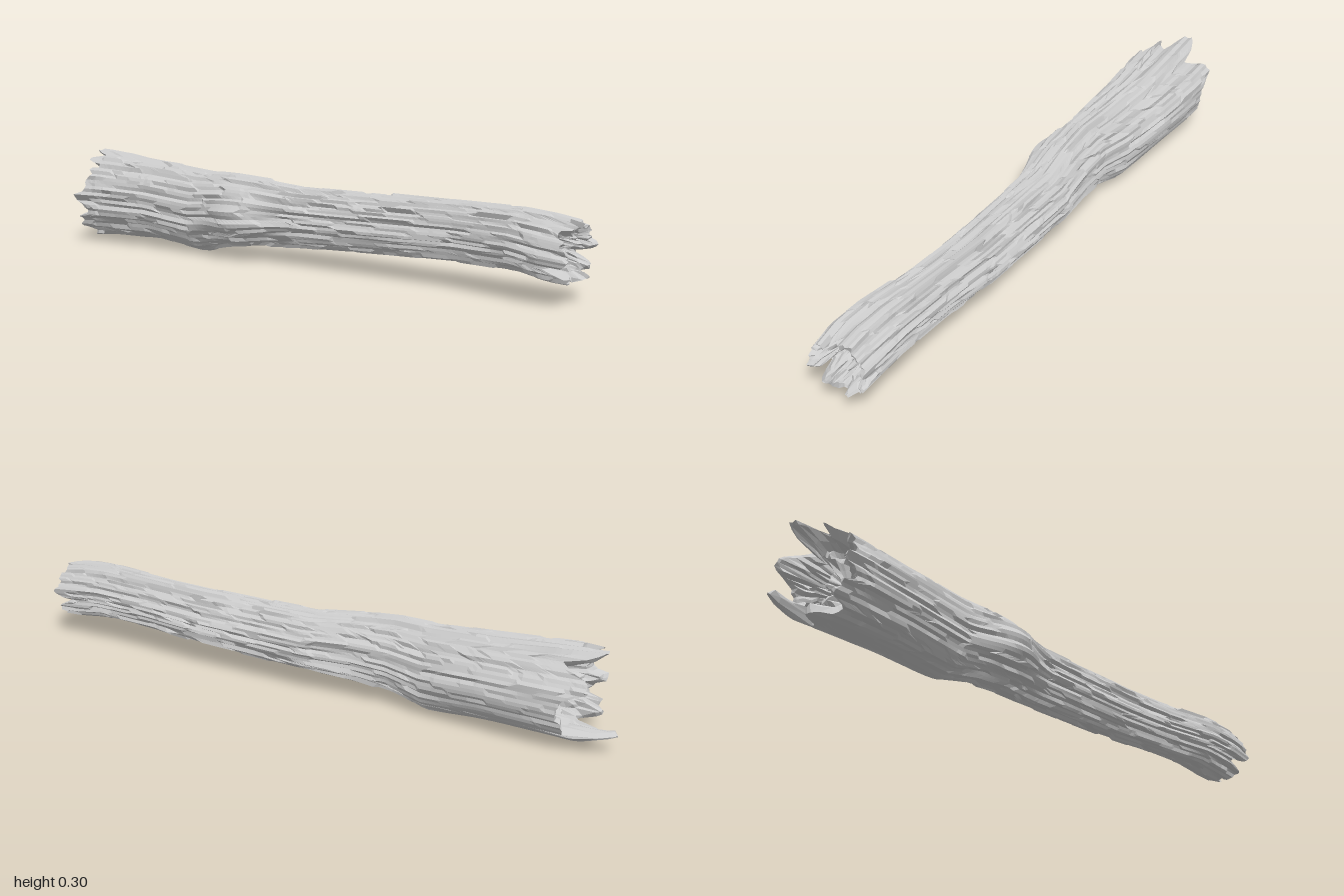
import * as THREE from 'three';

const COLS = 76, ROWS = 120;

// Log outline along its length: z, left x, right x, bottom y, top y
const OUTLINE = [
  [1.0, -0.10, 0.09, 0.06, 0.24], [0.9, -0.11, 0.095, 0.065, 0.255], [0.8, -0.10, 0.10, 0.08, 0.262],
  [0.6, -0.068, 0.105, 0.078, 0.26], [0.4, -0.062, 0.12, 0.07, 0.257], [0.0, -0.072, 0.125, 0.057, 0.255],
  [-0.15, -0.092, 0.108, 0.047, 0.268], [-0.28, -0.103, 0.103, 0.03, 0.276], [-0.4, -0.11, 0.12, 0.004, 0.276],
  [-0.6, -0.118, 0.147, 0.024, 0.288], [-0.8, -0.14, 0.158, 0.02, 0.297], [-1.0, -0.157, 0.152, 0.006, 0.302],
];

// Long splinters of the back break: angle in degrees, half width, tip z
const SPLINTERS = [
  [75, 16, -0.95], [-58, 13, -1.0], [28, 20, -0.925], [180, 15, -0.895],
  [-95, 16, -0.915], [-135, 14, -0.9], [112, 10, -0.91], [210, 8, -0.89],
];

const hash = (a, b = 0) => {
  const s = Math.sin(a * 127.1 + b * 311.7 + 17.3) * 43758.5453;
  return s - Math.floor(s);
};
const bell = (x, w) => Math.exp(-(x * x) / (w * w));
const turn = (a, b) => Math.atan2(Math.sin(a - b), Math.cos(a - b));
const rad = THREE.MathUtils.degToRad;
const angleOf = j => ((j % COLS) / COLS) * Math.PI * 2;

function section(z) {
  let k = 0;
  while (k < OUTLINE.length - 2 && z < OUTLINE[k + 1][0]) k++;
  const a = OUTLINE[k], b = OUTLINE[k + 1];
  const t = THREE.MathUtils.clamp((a[0] - z) / (a[0] - b[0]), 0, 1);
  return a.map((v, n) => v + (b[n] - v) * t);
}

// Point on the log skin, scaled towards the core and pushed out by lift
function skin(angle, z, scale = 1, lift = 0) {
  const [, l, r, b, t] = section(z);
  const knot = 0.045 * bell(z + 0.2, 0.11) * bell(turn(angle, rad(186)), 0.6);
  const crest = 0.016 * bell(turn(angle, rad(72)), 0.2) * THREE.MathUtils.smoothstep(-z, 0.6, 0.95);
  const c = Math.cos(angle), s = Math.sin(angle), d = lift + knot + crest;
  return [
    (l + r) / 2 + c * scale * ((r - l) / 2 + d),
    (b + t) / 2 + s * scale * ((t - b) / 2 + d),
    z,
  ];
}

// Bark relief: long fissures plus stepped plates, calmer on the bare underside
function relief(i, j, angle, z) {
  j %= COLS;
  const length = 6 + Math.floor(hash(j, 3) * 9);
  const plate = hash(j, Math.floor((i + hash(j) * 20) / length));
  const broad = hash(Math.floor(j / 4), Math.floor((i + hash(Math.floor(j / 4), 9) * 30) / 28));
  const fissure = Math.abs(Math.sin(angle * 6 + Math.sin(z * 3) * 0.9));
  const bare = THREE.MathUtils.smoothstep(-z, 0.28, 0.5) * bell(turn(angle, rad(-65)), 1.15);
  const rough = 1 - 0.85 * bare;
  return rough * (-0.011 * plate - 0.006 * broad - 0.008 * (1 - fissure) ** 2 + 0.003);
}

// Ragged edge of each end
function frontEdge(j) {
  j %= COLS;
  const g = Math.floor(j / 4);
  const tooth = j === 20 ? 1 : hash(g, 5) * 0.75 + hash(j, 6) * 0.25;
  const split = 0.05 * bell(turn(angleOf(j), rad(-12)), 0.16) + 0.06 * bell(turn(angleOf(j), rad(215)), 0.16);
  return 0.945 + 0.055 * tooth - split;
}
function backEdge(j) {
  j %= COLS;
  let z = -0.835 - 0.025 * hash(Math.floor(j / 2), 8);
  for (const [deg, width, tip] of SPLINTERS) {
    const off = Math.abs(turn(angleOf(j), rad(deg))) / rad(width);
    if (off < 1) z = Math.min(z, tip + (off < 0.4 ? 0 : (off - 0.4) * 0.11) + 0.012 * hash(j, 2) * off);
  }
  return z;
}
// The lowest splinter leans in towards the core
const lean = (angle, z) => 1 - 0.3 * bell(turn(angle, rad(-58)), 0.28) * THREE.MathUtils.smoothstep(-z, 0.86, 1);

const ring = fn => Array.from({ length: COLS + 1 }, (_, j) => fn(j, angleOf(j)));

// Skin a list of rings with flat-shaded quads
function loft(name, rings) {
  const pos = [];
  for (let i = 0; i < rings.length - 1; i++) {
    for (let j = 0; j < COLS; j++) {
      const a = rings[i][j], b = rings[i][j + 1], c = rings[i + 1][j], d = rings[i + 1][j + 1];
      pos.push(...a, ...c, ...b, ...b, ...c, ...d);
    }
  }
  const geo = new THREE.BufferGeometry();
  geo.setAttribute('position', new THREE.Float32BufferAttribute(pos, 3));
  geo.computeVertexNormals();
  const mesh = new THREE.Mesh(geo, new THREE.MeshStandardMaterial({
    color: 0xcccccc, flatShading: true, side: THREE.DoubleSide,
  }));
  mesh.name = name;
  return mesh;
}

// Rings stepping from the broken edge down to the hollow core
function breakRings(edge, floor, seed, steps) {
  return steps.map(([scale, depth, jitter]) => ring((j, angle) => {
    const g = Math.floor((j % COLS) / 3);
    const z = THREE.MathUtils.lerp(edge(j), floor, Math.min(1, depth + jitter * (hash(g, seed + scale) - 0.5)));
    const s = scale * (1 + (scale > 0.5 ? 0.16 * (hash(j % COLS, seed + scale * 7) - 0.5) : 0));
    return skin(angle, z, s * (seed === 40 ? lean(angle, z) : 1), -0.008);
  }));
}

export function createModel() {
  const log = new THREE.Group();
  log.name = 'brokenLog';

  // Bark, following the ragged edge at both ends
  const bark = [];
  for (let i = 0; i <= ROWS; i++) {
    bark.push(ring((j, angle) => {
      const z = THREE.MathUtils.lerp(frontEdge(j), backEdge(j), i / ROWS);
      return skin(angle, z, lean(angle, z), relief(i, j, angle, z));
    }));
  }
  log.add(loft('bark', bark));

  // Front break: stepped splinters around a flat core
  const front = breakRings(frontEdge, 0.87, 20, [
    [0.9, 0.05, 0.1], [0.78, 0.25, 0.4], [0.74, 0.5, 0.5], [0.62, 0.6, 0.5], [0.58, 0.85, 0.3], [0.46, 1, 0], [0, 1, 0],
  ]);
  log.add(loft('frontBreak', [...front.reverse(), bark[0]]));

  // Back break: deeper ragged hollow
  const back = breakRings(backEdge, -0.76, 40, [
    [0.9, 0.04, 0.08], [0.8, 0.3, 0.4], [0.74, 0.55, 0.6], [0.6, 0.65, 0.7], [0.52, 0.85, 0.4], [0.35, 0.9, 0.3], [0, 1, 0],
  ]);
  log.add(loft('backBreak', [bark[ROWS], ...back]));

  return log;
}
